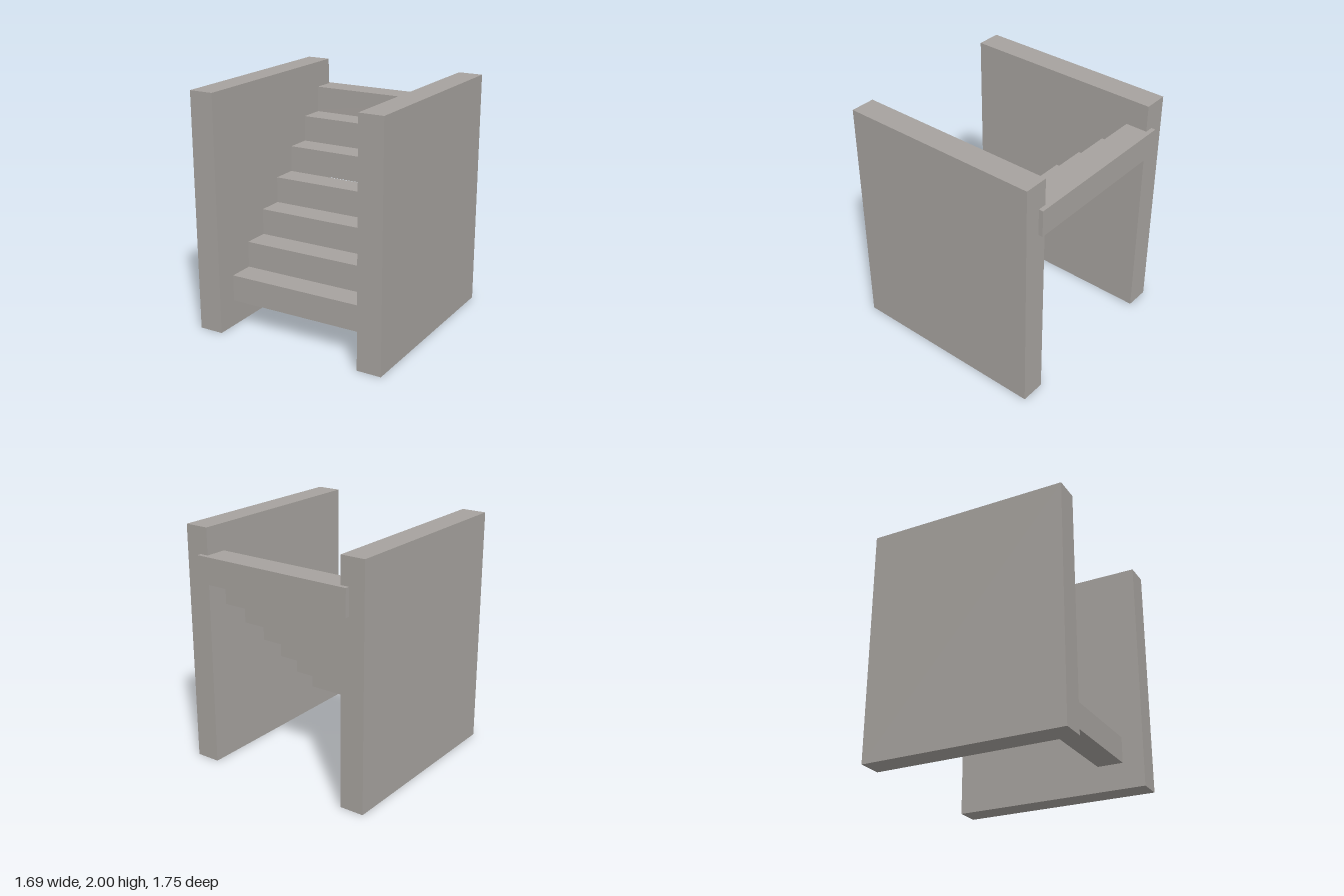
import * as THREE from 'three';

export function createModel() {
  const group = new THREE.Group();
  const material = new THREE.MeshStandardMaterial({ color: 0xa6a29e, flatShading: true });

  function addBox(name, w, h, d, x, y, z) {
    const mesh = new THREE.Mesh(new THREE.BoxGeometry(w, h, d), material);
    mesh.name = name;
    mesh.position.set(x, y, z);
    group.add(mesh);
  }

  // Side walls, stopping just short of the top step's back
  const front = 0.873, wallBack = -0.836;
  for (const side of [1, -1]) {
    addBox(side > 0 ? 'leftWall' : 'rightWall', 0.207, 2, front - wallBack,
      side * 0.7405, 1, (front + wallBack) / 2);
  }

  // Seven block steps let into the walls; the lower four sit a hair further forward
  const steps = 7, rise = 2 / 9, run = 0.2225;
  for (let i = 0; i < steps; i++) {
    const shift = i < 4 ? 0.005 : 0;
    addBox(`step${i + 1}`, 1.418, rise, run,
      0, rise * (i + 1.5), -front + run * (steps - i - 0.5) + shift);
  }

  return group;
}
